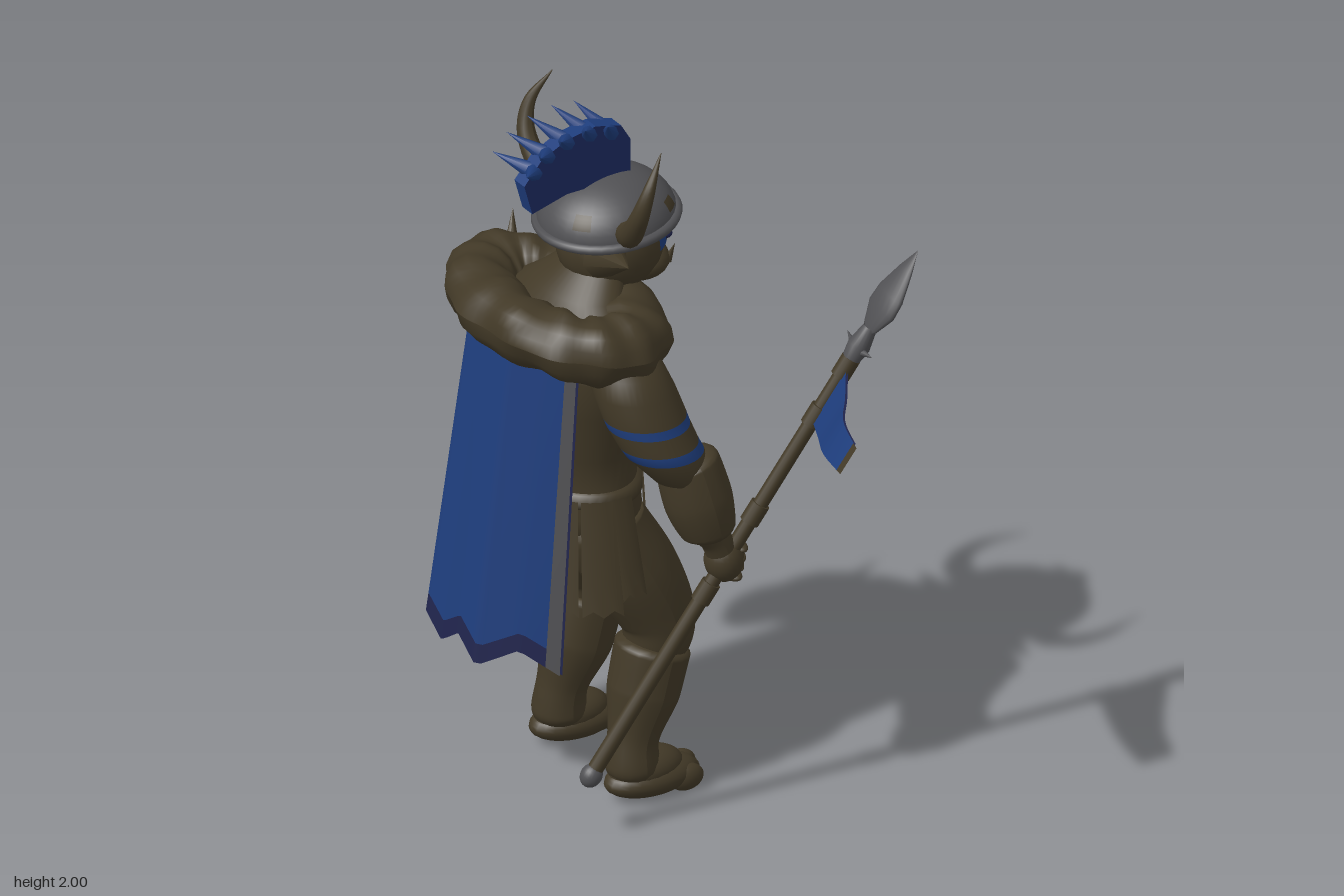
import * as THREE from 'three';

const material = (name, color) => {
  const m = new THREE.MeshStandardMaterial({ color, side: THREE.DoubleSide });
  m.name = name;
  return m;
};

export function createModel() {
  const brown = material('brown hide', 0x423927);
  const grey = material('grey metal', 0x505053);
  const blue = material('blue cloth', 0x1e3d7c);
  const navy = material('navy lining', 0x20244c);
  const deepBlue = material('deep blue crest', 0x1c2a5e);

  const model = new THREE.Group();
  model.name = 'hornedSpearman';
  const body = new THREE.Group();
  body.name = 'body';
  body.position.z = -0.2;
  model.add(body);

  const add = (name, geo, mat, pos = [0, 0, 0], parent = body) => {
    const m = new THREE.Mesh(geo, mat);
    m.name = name;
    m.position.set(...pos);
    parent.add(m);
    return m;
  };
  const blob = (name, mat, pos, r, parent = body) => {
    const m = add(name, new THREE.SphereGeometry(1, 24, 16), mat, pos, parent);
    m.scale.set(...r);
    return m;
  };
  // Cone whose base sits at p and whose tip points along d
  const spike = (name, mat, p, d, r, parent = body) => {
    const dir = new THREE.Vector3(...d), len = dir.length();
    const g = new THREE.ConeGeometry(r, len, 8).translate(0, len / 2, 0);
    const m = add(name, g, mat, p, parent);
    m.quaternion.setFromUnitVectors(new THREE.Vector3(0, 1, 0), dir.normalize());
    return m;
  };
  // Tube through [x, y, z, radius] points
  const limb = (pts, rows = 48, sides = 20) => {
    const curve = new THREE.CatmullRomCurve3(pts.map(p => new THREE.Vector3(p[0], p[1], p[2])));
    const radius = new THREE.CatmullRomCurve3(pts.map(p => new THREE.Vector3(p[3], 0, 0)));
    const g = new THREE.TubeGeometry(curve, rows, 1, sides);
    const pos = g.attributes.position, v = new THREE.Vector3();
    for (let i = 0; i <= rows; i++) {
      const c = curve.getPointAt(i / rows);
      const r = Math.max(0.001, radius.getPoint(curve.getUtoTmapping(i / rows)).x);
      for (let j = 0; j <= sides; j++) {
        const k = i * (sides + 1) + j;
        v.fromBufferAttribute(pos, k).sub(c).multiplyScalar(r).add(c);
        pos.setXYZ(k, v.x, v.y, v.z);
      }
    }
    g.computeVertexNormals();
    return g;
  };
  // Surface from a rule over u, v in 0..1
  const sheet = (fn, nu, nv) => {
    const g = new THREE.PlaneGeometry(1, 1, nu, nv), pos = g.attributes.position, uv = g.attributes.uv;
    for (let i = 0; i < pos.count; i++) pos.setXYZ(i, ...fn(uv.getX(i), 1 - uv.getY(i)));
    g.computeVertexNormals();
    return g;
  };
  // Stacked horizontal ellipses [y, centreX, radiusX, radiusZ, centreZ]
  const loft = rings => sheet((u, v) => {
    const [y, cx, rx, rz, cz = 0] = rings[Math.round((1 - v) * (rings.length - 1))];
    const a = -u * Math.PI * 2;
    return [cx + rx * Math.cos(a), y, cz + rz * Math.sin(a)];
  }, 40, rings.length - 1);

  // Torso and belt
  const torso = [[0.73, -0.14, 0.01, 0.01], [0.75, -0.14, 0.09, 0.13], [0.8, -0.15, 0.14, 0.21], [0.88, -0.16, 0.155, 0.23],
    [0.95, -0.16, 0.15, 0.2], [1.05, -0.16, 0.16, 0.205], [1.2, -0.16, 0.175, 0.25], [1.32, -0.17, 0.17, 0.29],
    [1.42, -0.18, 0.14, 0.28], [1.5, -0.15, 0.1, 0.16], [1.56, -0.1, 0.08, 0.1]];
  add('torso', loft(torso), brown);
  add('belt', loft([[0.915, -0.16, 0.14, 0.19], [0.915, -0.16, 0.163, 0.22], [0.955, -0.16, 0.163, 0.216], [0.955, -0.16, 0.13, 0.18]]), brown);
  blob('buckle', grey, [0.005, 0.94, 0], [0.015, 0.035, 0.045]);
  blob('pouch', brown, [-0.06, 0.865, -0.225], [0.03, 0.035, 0.025]);

  // Painted chest marks follow the torso surface
  const chestX = (y, z) => {
    const i = torso.findIndex(r => r[0] >= y), t = (y - torso[i - 1][0]) / (torso[i][0] - torso[i - 1][0]);
    const [, cx, rx, rz] = torso[i].map((b, k) => torso[i - 1][k] * (1 - t) + b * t);
    return cx + rx * Math.sqrt(1 - (z / rz) ** 2) + 0.006;
  };
  add('chestChevron', sheet((u, v) => {
    const z = 0.19 - u * 0.39, d = z + 0.05, y = 1.22 + (d > 0 ? 0.52 * d : -0.95 * d) - v * 0.066;
    return [chestX(y, z), y, z];
  }, 39, 6), blue);
  add('chestDrop', sheet((u, v) => {
    const y = 1.18 - v * 0.13, z = (u - 0.5) * 2 * (0.012 + 0.025 * Math.sin(Math.PI * v ** 1.6));
    return [chestX(y, z), y, z];
  }, 6, 12), grey);

  // Ragged waist cloth flaps [angle, angular width, length], then one front strap
  const flap = (a0, w, len, flare) => add('waistCloth', sheet((u, v) => {
    const a = a0 + (u - 0.5) * w, k = 1.04 + flare * v;
    const y = 0.94 - v * (len - 0.02 * (Math.round(u * 4) % 2));
    return [-0.16 + 0.165 * k * Math.cos(a), y, 0.215 * k * Math.sin(a)];
  }, 4, 4), brown);
  for (const s of [1, -1])
    [[1.5, 0.36, 0.28], [1.92, 0.5, 0.32], [2.42, 0.42, 0.32]].forEach(([a, w, len]) => flap(a * s, w, len, 0.29));
  flap(0.38, 0.12, 0.19, 0.06);

  // Legs and arms, mirrored
  for (const s of [1, -1]) {
    const mir = pts => pts.map(([x, y, z, r]) => [x, y, z * s, r]);
    add('thigh', limb(mir([[-0.16, 0.9, 0.11, 0.02], [-0.15, 0.83, 0.115, 0.12], [-0.075, 0.68, 0.14, 0.125],
      [-0.005, 0.52, 0.165, 0.105], [-0.01, 0.44, 0.17, 0.09], [-0.03, 0.37, 0.17, 0.04]])), brown);
    add('shinGuard', limb(mir([[-0.015, 0.45, 0.17, 0.06], [-0.02, 0.435, 0.17, 0.104], [-0.05, 0.31, 0.17, 0.1],
      [-0.09, 0.17, 0.18, 0.07], [-0.095, 0.1, 0.185, 0.075], [-0.095, 0.05, 0.185, 0.04]])), brown);
    blob('foot', brown, [-0.04, 0.055, 0.19 * s], [0.14, 0.052, 0.078]);
    blob('instep', brown, [-0.055, 0.085, 0.188 * s], [0.11, 0.055, 0.07]);
    for (let i = 0; i < 3; i++)
      blob('toe', brown, [0.07 - i * 0.012, 0.042, (0.152 + i * 0.04) * s], [0.052, 0.038, 0.03]);

    // Upper arm with two painted bands
    const upper = loft([[1.04, -0.05, 0.04, 0.04, 0.4], [1.07, -0.06, 0.09, 0.08, 0.395], [1.145, -0.11, 0.108, 0.105, 0.37],
      [1.172, -0.123, 0.11, 0.108, 0.36], [1.222, -0.14, 0.113, 0.112, 0.338], [1.247, -0.147, 0.114, 0.113, 0.33],
      [1.32, -0.165, 0.112, 0.115, 0.305], [1.38, -0.175, 0.1, 0.105, 0.285], [1.42, -0.18, 0.075, 0.08, 0.265],
      [1.44, -0.18, 0.01, 0.01, 0.25]].map(r => [...r.slice(0, 4), r[4] * s]));
    [0, 0, 0, 0, 1, 0, 1, 0, 0].forEach((m, row) => upper.addGroup(row * 240, 240, m));
    add('upperArm', upper, [brown, blue]);
    add('bracer', limb(mir([[-0.06, 1.12, 0.388, 0.04], [-0.052, 1.1, 0.392, 0.088], [-0.03, 1.0, 0.41, 0.094],
      [-0.005, 0.9, 0.425, 0.076], [0, 0.875, 0.425, 0.03]])), brown);
    add('wrist', limb(mir([[-0.01, 0.9, 0.425, 0.045], [0.02, 0.86, 0.425, 0.043], [0.045, 0.8, 0.425, 0.045]]), 12), brown);
    blob('hand', brown, [0.045, 0.795, 0.425 * s], [0.055, 0.065, 0.055]);
    for (let i = 0; i < 4; i++)
      blob('finger', brown, [0.085 - i * 0.006, 0.825 - i * 0.027, 0.42 * s], [0.025, 0.016, 0.048]);

    // Ears, horns, tusks, brows and eyes
    const ear = spike('ear', brown, [-0.125, 1.605, 0.09 * s], [-0.04, 0.065, 0.19 * s], 0.07);
    ear.scale.set(0.9, 1, 0.8);
    add('horn', limb(mir([[-0.09, 1.7, 0.15, 0.035], [-0.125, 1.735, 0.225, 0.033], [-0.135, 1.82, 0.287, 0.026],
      [-0.115, 1.9, 0.302, 0.017], [-0.06, 1.99, 0.275, 0.001]]), 30, 12), brown);
    spike('tusk', brown, [0.1, 1.515, 0.05 * s], [0.015, 0.055, 0.015 * s], 0.012);
    const brow = blob('brow', brown, [0.085, 1.66, 0.055 * s], [0.025, 0.014, 0.05]);
    brow.rotation.x = -0.25 * s;
    blob('eye', navy, [0.08, 1.615, 0.06 * s], [0.022, 0.018, 0.032]);
  }

  // Head
  const headR = [0.15, 0.14, 0.14], headP = [-0.05, 1.6, 0];
  blob('head', brown, headP, headR);
  blob('jaw', brown, [0.03, 1.525, 0], [0.09, 0.055, 0.1]);
  blob('nose', brown, [0.1, 1.575, 0], [0.025, 0.03, 0.035]);
  add('eyePaint', new THREE.SphereGeometry(1.03, 24, 6, Math.PI - 1.0, 2.0, 1.24, 0.38), blue, headP).scale.set(...headR);

  // Helmet
  const helmet = new THREE.Group();
  helmet.name = 'helmet';
  helmet.position.set(-0.06, 1.68, 0);
  helmet.rotation.z = 0.09;
  body.add(helmet);
  const domeR = [0.19, 0.13, 0.185];
  add('dome', new THREE.SphereGeometry(1, 32, 12, 0, Math.PI * 2, 0, Math.PI / 2), grey, [0, 0, 0], helmet).scale.set(...domeR);
  [[0.5, 0.9, 0.3], [3.6, 0.6, 0.2], [2.2, 1.1, 0.25], [5.2, 1.0, 0.4]].forEach(([p, t, w]) =>
    add('rustPatch', new THREE.SphereGeometry(1.015, 6, 4, p, w, t, w), brown, [0, 0, 0], helmet).scale.set(...domeR));
  add('brim', new THREE.TorusGeometry(0.19, 0.014, 8, 40).rotateX(Math.PI / 2), grey, [0, 0, 0], helmet);
  add('noseGuard', new THREE.BoxGeometry(0.016, 0.1, 0.022), grey, [0.185, -0.045, 0], helmet);

  // Crest with splayed quills sweeping back
  const crest = new THREE.Shape([[-0.31, 1.76], [-0.2, 1.79], [0, 1.79], [0, 1.9], [-0.03, 1.95], [-0.11, 1.97], [-0.2, 1.955],
    [-0.28, 1.915], [-0.335, 1.85]].map(p => new THREE.Vector2(...p)));
  add('crest', new THREE.ExtrudeGeometry(crest, { depth: 0.05, bevelEnabled: false }), [deepBlue, blue], [0, 0, -0.025]);
  for (let i = 0; i < 5; i++) for (const s of [1, -1]) {
    const a = 1.05 + i * 0.42;
    spike('quill', blue, [-0.14 + 0.17 * Math.cos(a), 1.83 + 0.115 * Math.sin(a), 0.01 * s],
      [-0.055 - 0.004 * i, 0.068 - 0.007 * i, 0.078 * s], 0.024);
  }

  // Fur collar: a torus pulled into a lumpy, tilted oval
  const fur = new THREE.TorusGeometry(1, 0.3, 16, 96);
  const fp = fur.attributes.position, fuv = fur.attributes.uv;
  for (let i = 0; i < fp.count; i++) {
    const a = fuv.getX(i) * Math.PI * 2, b = fuv.getY(i) * Math.PI * 2;
    const r = 0.103 * (1 + 0.05 * Math.sin(13 * a) + 0.06 * Math.sin(7 * a + 3 * b));
    const x = Math.cos(a) * (0.165 + r * Math.cos(b));
    fp.setXYZ(i, -0.215 + x, 1.435 - 0.13 * x + 0.9 * r * Math.sin(b), -Math.sin(a) * (0.28 + r * Math.cos(b)));
  }
  fur.computeVertexNormals();
  add('furCollar', fur, brown);

  // Shoulder plate on the free arm
  const plate = new THREE.Group();
  plate.name = 'shoulderPlate';
  plate.position.set(-0.175, 1.315, -0.345);
  plate.rotation.x = -0.15;
  plate.scale.set(0.135, 0.13, 0.12);
  body.add(plate);
  add('plateShell', new THREE.SphereGeometry(1, 24, 10, 0, Math.PI * 2, 0, Math.PI / 2), grey, [0, 0, 0], plate);
  [[0.4, 0.9, 0.8, 0.6], [2.6, 0.6, 1.0, 0.5]].forEach(p =>
    add('platePatch', new THREE.SphereGeometry(1.02, 8, 5, ...p), brown, [0, 0, 0], plate));
  spike('plateSpike', brown, [-0.13, 1.41, -0.37], [0.03, 0.11, -0.04], 0.025);
  add('armBuckle', new THREE.BoxGeometry(0.11, 0.045, 0.06), grey, [-0.1, 1.205, -0.435]);

  // Cape in three broad panels: blue outside, grey side borders, navy hem and lining
  const cape = (u0, u1, v0, v1, inset) => sheet((p, q) => {
    const u = u0 + (u1 - u0) * p, v = v0 + (v1 - v0) * q;
    const bend = Math.max(0, (Math.abs(u) - 0.4) / 0.6);
    const hem = 0.505 + 0.06 * Math.abs(((u + 1) * 3.5) % 2 - 1);
    const x = -0.43 - 0.125 * v + (0.115 + 0.045 * v) * bend + inset;
    return [x, 1.42 + (hem - 1.42) * v, u * (0.26 + 0.04 * v)];
  }, Math.round((u1 - u0) * 20), 10);
  add('cape', cape(-0.9, 0.9, 0, 0.94, 0), blue);
  add('capeHem', cape(-0.9, 0.9, 0.94, 1, 0), navy);
  add('capeBorder', cape(-1, -0.9, 0, 1, 0), grey);
  add('capeBorder', cape(0.9, 1, 0, 1, 0), grey);
  add('capeLining', cape(-1, 1, 0, 1, 0.008), navy);

  // Spear, built upright then leaned
  const spear = new THREE.Group();
  spear.name = 'spear';
  spear.position.set(-0.32, 0.18, 0.125);
  spear.quaternion.setFromUnitVectors(new THREE.Vector3(0, 1, 0), new THREE.Vector3(0.87, 1.485, 0.27).normalize());
  model.add(spear);
  const lathe = pts => new THREE.LatheGeometry(pts.map(p => new THREE.Vector2(...p)), 16);
  add('shaft', new THREE.CylinderGeometry(0.02, 0.022, 1.44, 14), brown, [0, 0.72, 0], spear);
  for (const y of [0.62, 0.88, 1.2, 1.36])
    add('shaftWrap', new THREE.CylinderGeometry(0.027, 0.027, 0.06, 14), brown, [0, y, 0], spear);
  blob('pommel', grey, [0, 0.015, 0], [0.03, 0.035, 0.03], spear);
  add('socket', lathe([[0.024, 1.38], [0.032, 1.43], [0.02, 1.49]]), grey, [0, 0, 0], spear);
  add('blade', lathe([[0.001, 1.46], [0.03, 1.49], [0.058, 1.55], [0.055, 1.6], [0.028, 1.68], [0.001, 1.742]]), grey, [0, 0, 0], spear).scale.x = 0.35;
  for (const s of [1, -1]) spike('guardSpike', grey, [0, 1.42, 0.01 * s], [0, 0.015, 0.06 * s], 0.014, spear);

  // Pennant trailing from the shaft, navy on its forward face
  const edge = pts => new THREE.CatmullRomCurve3(pts.map(p => new THREE.Vector3(...p)));
  const lower = edge([[0.27, 1.19, 0.31], [0.22, 1.2, 0.42], [0.15, 1.235, 0.56], [0.115, 1.25, 0.7]]);
  const upperEdge = edge([[0.36, 1.34, 0.336], [0.28, 1.325, 0.46], [0.2, 1.33, 0.58], [0.16, 1.32, 0.71]]);
  const flag = (a, b, n) => sheet((u, v) => {
    const t = a + (b - a) * u;
    return upperEdge.getPoint(t).lerp(lower.getPoint(t), v).toArray();
  }, n, 4);
  add('pennant', flag(0, 0.93, 16), blue, [0, 0, 0], model);
  add('pennantLining', flag(0, 0.93, 16), navy, [0.005, -0.003, 0.003], model);
  add('pennantTip', flag(0.93, 1, 2), brown, [0, 0, 0], model);

  return model;
}
